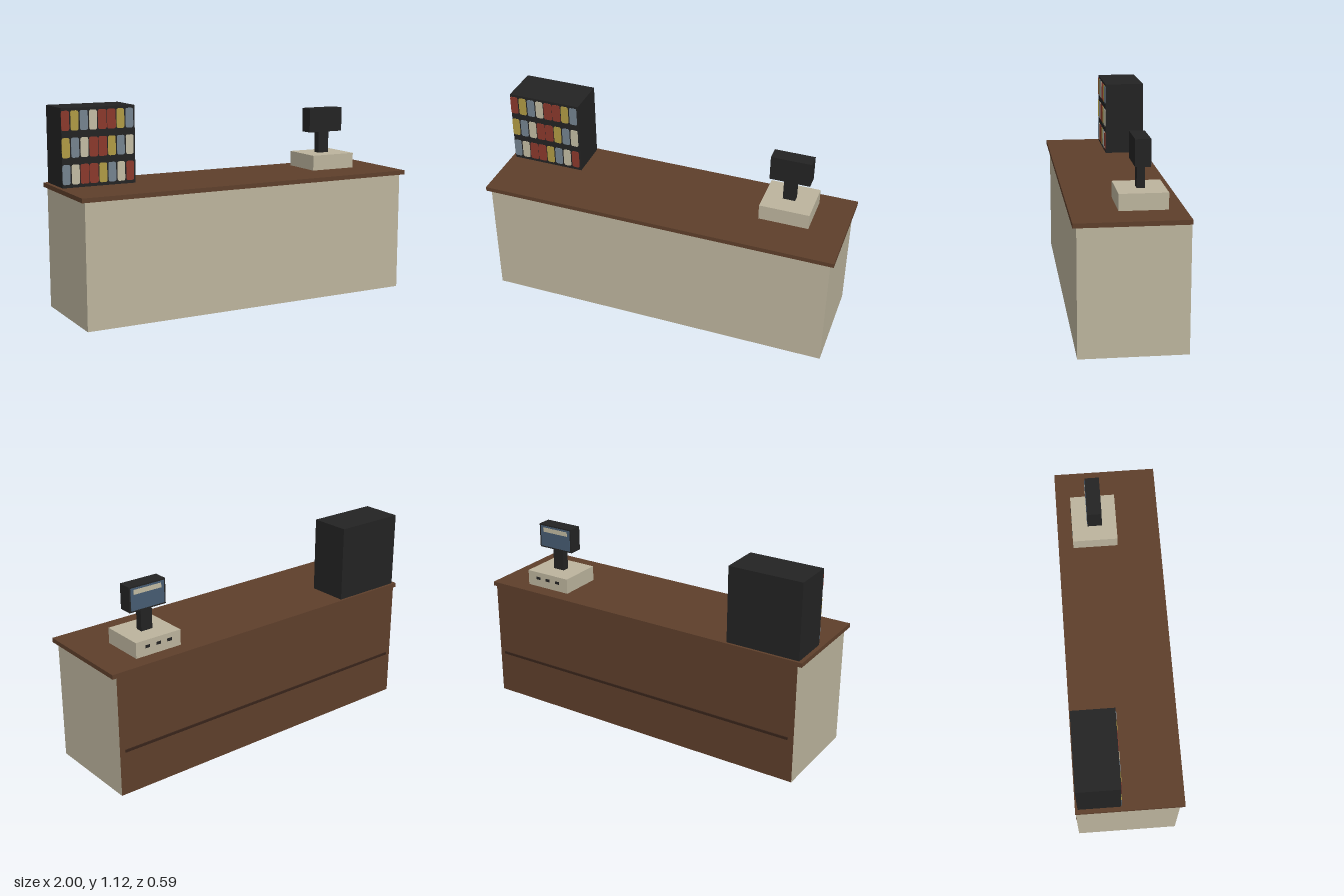
import * as THREE from 'three';

const mat = (name, color, side = THREE.FrontSide) => {
  const m = new THREE.MeshStandardMaterial({ color, side });
  m.name = name;
  return m;
};

export function createModel() {
  const model = new THREE.Group();
  model.name = 'serviceCounter';

  const cream = mat('cream', 0xbcb49d, THREE.DoubleSide);
  const wood = mat('brownWood', 0x5e3f2b, THREE.DoubleSide);
  const darkWood = mat('darkWood', 0x38241a);
  const black = mat('black', 0x232323);
  const red = mat('packRed', 0x8a382c);
  const yellow = mat('packYellow', 0xb09a44);
  const blue = mat('packBlue', 0x74838f);
  const pale = mat('packPale', 0xc2bba2);
  const glass = mat('screenBlue', 0x465c72);

  const add = (name, geometry, material, parent = model) => {
    const mesh = new THREE.Mesh(geometry, material);
    mesh.name = name;
    parent.add(mesh);
    return mesh;
  };
  // Box given by its limits on each axis
  const box = (name, material, [x0, x1], [y0, y1], [z0, z1], parent) => {
    const mesh = add(name, new THREE.BoxGeometry(x1 - x0, y1 - y0, z1 - z0), material, parent);
    mesh.position.set((x0 + x1) / 2, (y0 + y1) / 2, (z0 + z1) / 2);
    return mesh;
  };

  // Counter shell, open underneath
  const W = 0.978, H = 0.674, front = 0.273, back = -0.287;
  add('frontPanel', new THREE.PlaneGeometry(2 * W, H), cream).position.set(0, H / 2, front);
  const backPanel = add('backPanel', new THREE.PlaneGeometry(2 * W, H), wood);
  backPanel.position.set(0, H / 2, back);
  backPanel.rotation.y = Math.PI;
  for (const s of [-1, 1]) {
    const side = add(s > 0 ? 'leftPanel' : 'rightPanel', new THREE.PlaneGeometry(front - back, H), cream);
    side.position.set(s * W, H / 2, (front + back) / 2);
    side.rotation.y = s * Math.PI / 2;
  }
  box('worktop', wood, [-1, 1], [H, 0.698], [back, 0.293]);
  box('backRail', darkWood, [-0.945, 0.945], [0.247, 0.261], [-0.293, back]);

  // Display cabinet with rows of rounded packs on its front
  const cabinet = new THREE.Group();
  cabinet.name = 'displayCabinet';
  model.add(cabinet);
  box('cabinetBody', black, [-0.978, -0.562], [0.698, 1.12], [-0.273, -0.044], cabinet);
  const packShape = (w, h, r) => {
    const s = new THREE.Shape();
    const x = w / 2, y = h / 2;
    s.moveTo(-x + r, -y);
    s.lineTo(x - r, -y);
    s.quadraticCurveTo(x, -y, x, -y + r);
    s.lineTo(x, y - r);
    s.quadraticCurveTo(x, y, x - r, y);
    s.lineTo(-x + r, y);
    s.quadraticCurveTo(-x, y, -x, y - r);
    s.lineTo(-x, -y + r);
    s.quadraticCurveTo(-x, -y, -x + r, -y);
    return s;
  };
  const packGeometry = (w) => new THREE.ExtrudeGeometry(packShape(w, 0.106, 0.012),
    { depth: 0.004, bevelEnabled: false, curveSegments: 3 });
  const narrow = packGeometry(0.044), wide = packGeometry(0.049);
  const sequence = [red, yellow, blue, pale, red];
  [1.053, 0.91, 0.768].forEach((y, row) => {
    for (let i = 0; i < 8; i++) {
      const colour = sequence[(i + row) % 5];
      const pack = add('pack', colour === red && i > 0 && i < 7 ? wide : narrow, colour, cabinet);
      pack.position.set(-0.956 + i * 0.0518, y, -0.045);
    }
  });

  // Cash register: base, post and monitor facing the back
  const register = new THREE.Group();
  register.name = 'cashRegister';
  model.add(register);
  box('registerBase', cream, [0.524, 0.802], [0.698, 0.785], [-0.203, 0.049], register);
  box('monitorPost', black, [0.627, 0.696], [0.785, 0.915], [-0.098, -0.056], register);
  box('monitor', black, [0.551, 0.774], [0.911, 1.05], [-0.116, -0.036], register);
  box('screen', glass, [0.56, 0.765], [0.919, 1.042], [-0.118, -0.115], register);
  box('screenStrip', pale, [0.578, 0.747], [1.006, 1.032], [-0.119, -0.117], register);
  for (const x of [0.595, 0.663, 0.731]) {
    box('registerKey', black, [x - 0.014, x + 0.014], [0.741, 0.757], [-0.205, -0.202], register);
  }
  return model;
}
